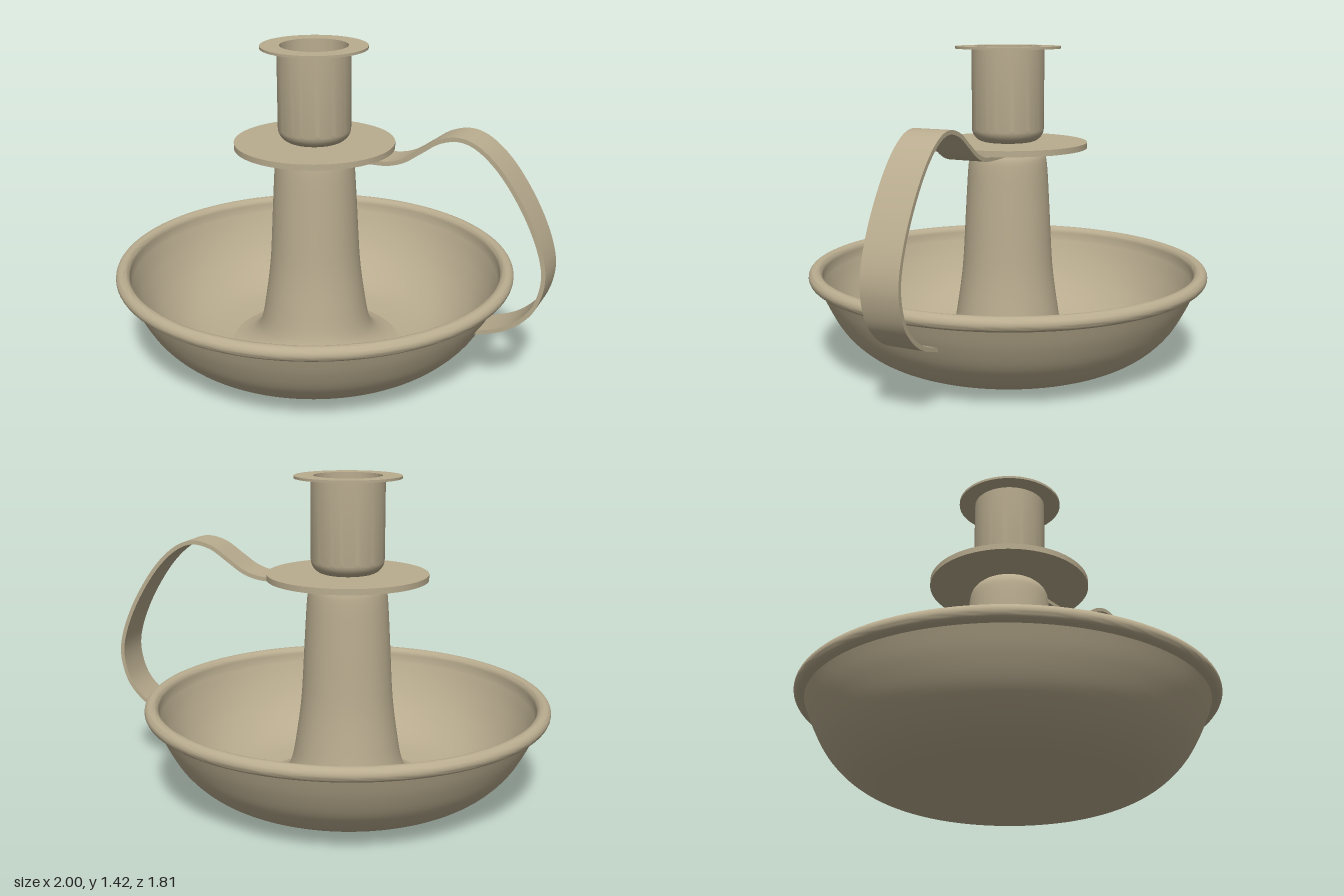
import * as THREE from 'three';
import { toCreasedNormals } from 'three/addons/utils/BufferGeometryUtils.js';

const AXIS_X = -0.095; // the dish and stem are offset to balance the handle

const vectors = (points) => points.map(([x, y]) => new THREE.Vector2(x, y));
const smooth = (points, n) => new THREE.SplineCurve(vectors(points)).getPoints(n);

// points on a circle, angles in degrees
function arc(cx, cy, r, from, to, n = 10) {
  return Array.from({ length: n + 1 }, (_, i) => {
    const a = THREE.MathUtils.degToRad(from + ((to - from) * i) / n);
    return new THREE.Vector2(cx + r * Math.cos(a), cy + r * Math.sin(a));
  });
}

export function createModel() {
  const group = new THREE.Group();
  const metal = new THREE.MeshStandardMaterial({ color: 0xb9ac8f });
  metal.name = 'warm beige metal';

  function add(name, geometry, x = 0) {
    const mesh = new THREE.Mesh(toCreasedNormals(geometry, 0.6), metal);
    mesh.name = name;
    mesh.position.x = x;
    group.add(mesh);
  }
  const turned = (name, profile) => add(name, new THREE.LatheGeometry(profile, 96), AXIS_X);

  // dish: underside, rolled rim, then the inside back to the centre
  turned('dish', [
    ...vectors([[0, 0]]),
    ...smooth([[0.4, 0], [0.54, 0.022], [0.66, 0.08], [0.755, 0.17], [0.82, 0.28], [0.86, 0.375]], 24),
    ...arc(0.874, 0.406, 0.031, -90, 180, 18),
    ...smooth([[0.84, 0.38], [0.8, 0.285], [0.735, 0.183], [0.645, 0.097], [0.535, 0.042], [0.4, 0.02]], 24),
    ...vectors([[0, 0.02]]),
  ]);

  // flared stem with a rounded shoulder
  turned('stem', smooth([
    [0.39, 0.02], [0.33, 0.042], [0.28, 0.08], [0.25, 0.14], [0.228, 0.26], [0.205, 0.44],
    [0.19, 0.7], [0.178, 0.89], [0.165, 0.945], [0.14, 0.972],
  ], 40));

  // drip plate
  turned('dripPlate', vectors([[0, 0.972], [0.357, 0.972], [0.357, 0.998], [0, 0.998]]));

  // candle cup: rounded bottom, thin flange, open bore
  turned('candleCup', [
    ...vectors([[0, 0.998]]),
    ...arc(0.1, 1.06, 0.062, -90, 0),
    ...vectors([[0.162, 1.412], [0.235, 1.412], [0.235, 1.423], [0.15, 1.423]]),
    ...arc(0.095, 1.075, 0.055, 0, -90),
    ...vectors([[0, 1.02]]),
  ]);

  // handle: a bent flat strap from under the drip plate to the dish wall
  const path = new THREE.SplineCurve(vectors([
    [0.09, 0.962], [0.2, 0.962], [0.29, 0.966], [0.365, 0.99], [0.44, 1.04], [0.52, 1.092], [0.61, 1.11],
    [0.7, 1.075], [0.8, 0.98], [0.9, 0.83], [0.967, 0.68], [0.988, 0.56], [0.96, 0.44],
    [0.9, 0.36], [0.82, 0.305], [0.71, 0.267],
  ]));
  const steps = 90;
  const half = 0.009;
  const outer = [];
  const inner = [];
  for (let i = 0; i <= steps; i++) {
    const p = path.getPointAt(i / steps);
    const t = path.getTangentAt(i / steps);
    outer.push(new THREE.Vector2(p.x - t.y * half, p.y + t.x * half));
    inner.push(new THREE.Vector2(p.x + t.y * half, p.y - t.x * half));
  }
  const strap = new THREE.ExtrudeGeometry(new THREE.Shape([...outer, ...inner.reverse()]), {
    depth: 0.168,
    bevelEnabled: false,
  });
  strap.translate(0, 0, -0.084);
  add('handle', strap);

  return group;
}
